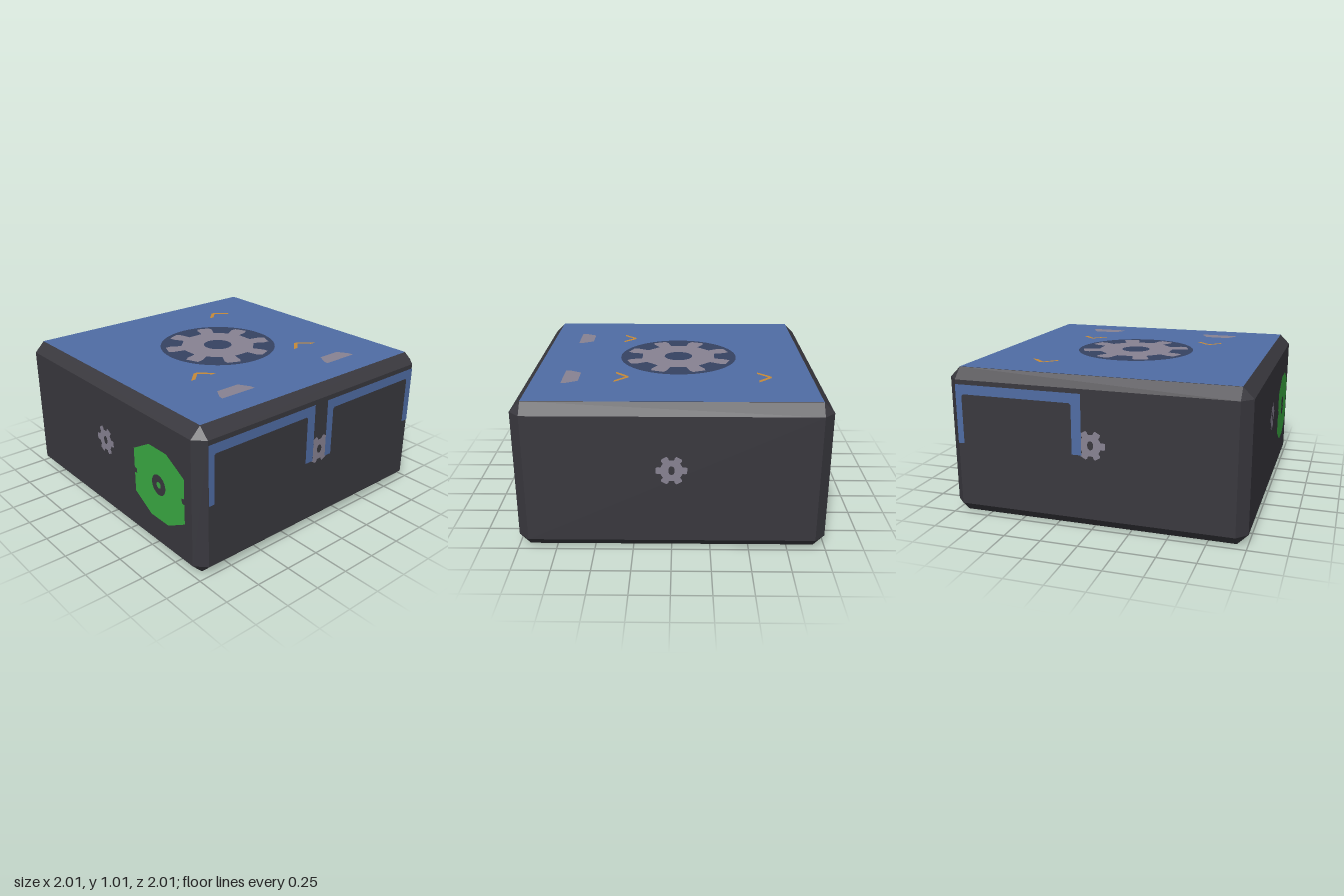
import * as THREE from 'three';
import { ConvexGeometry } from 'three/addons/geometries/ConvexGeometry.js';

const material = (name, color) => Object.assign(new THREE.MeshStandardMaterial({ color }), { name });

// Outline from [x, y] pairs
const outline = (points) => new THREE.Shape(points.map(([x, y]) => new THREE.Vector2(x, y)));

// Cog wheel with an elliptical bore; the first tooth sits at angle "start"
function cog(teeth, start, root, shoulder, tip, rootHalf, tipHalf, boreX, boreY) {
  const points = [];
  for (let i = 0; i < teeth; i++) {
    const mid = start + (i * Math.PI * 2) / teeth;
    const profile = [[-rootHalf, root], [-rootHalf * 0.95, shoulder], [-tipHalf, tip],
      [tipHalf, tip], [rootHalf * 0.95, shoulder], [rootHalf, root]];
    for (const [a, r] of profile) points.push([Math.cos(mid + a) * r, Math.sin(mid + a) * r]);
  }
  const shape = outline(points);
  shape.holes.push(new THREE.Path().absellipse(0, 0, boreX, boreY, 0, Math.PI * 2, true));
  return shape;
}

// Upside-down U bracket with separate leg widths
function bracket(x0, x1, leftLeg, rightLeg) {
  const top = 0.9, under = 0.835, foot = 0.5, c = 0.012;
  const a = x0 + leftLeg, b = x1 - rightLeg;
  return outline([[x0, foot], [a, foot], [a, under - c], [a + c, under], [b - c, under],
    [b, under - c], [b, foot], [x1, foot], [x1, top], [x0, top]]);
}

export function createModel() {
  const model = new THREE.Group();
  model.name = 'chamferedBlock';

  const dark = material('charcoal', 0x39383e);
  const blue = material('blue', 0x4f6ca4);
  const navy = material('navy', 0x364262);
  const grey = material('grey', 0x878292);
  const orange = material('orange', 0xc68a38);
  const green = material('green', 0x3aaa42);

  // Block with every edge chamfered
  const c = 0.07, corners = [];
  for (const sx of [-1, 1]) for (const sy of [-1, 1]) for (const sz of [-1, 1]) {
    corners.push(
      new THREE.Vector3(sx, sy * (0.5 - c), sz * (1 - c)),
      new THREE.Vector3(sx * (1 - c), sy * 0.5, sz * (1 - c)),
      new THREE.Vector3(sx * (1 - c), sy * (0.5 - c), sz));
  }
  const body = new THREE.Mesh(new ConvexGeometry(corners), dark);
  body.name = 'body';
  body.position.y = 0.5;
  model.add(body);

  // Painted faces: each group has x to the right and y up, seen from outside
  const face = (name, rx, ry) => {
    const group = new THREE.Group();
    group.name = name;
    group.rotation.set(rx, ry, 0);
    model.add(group);
    return group;
  };
  const paint = (group, name, shape, mat, layer, x = 0, y = 0) => {
    const mesh = new THREE.Mesh(new THREE.ShapeGeometry(shape, 32), mat);
    mesh.name = name;
    mesh.position.set(x, y, 1 + layer * 0.002);
    group.add(mesh);
  };

  const front = face('frontFace', 0, 0);
  const right = face('plusXFace', 0, Math.PI / 2);
  const back = face('backFace', 0, Math.PI);
  const left = face('minusXFace', 0, -Math.PI / 2);
  const top = face('topFace', -Math.PI / 2, 0);

  // Small six-toothed cog in the middle of each side
  const smallCog = cog(6, 0, 0.073, 0.088, 0.1, 0.3, 0.2, 0.02, 0.03);
  for (const side of [front, right, back, left]) paint(side, 'smallCog', smallCog, grey, 1, 0, 0.57);

  // Brackets
  const wideInner = bracket(-0.93, -0.06, 0.042, 0.065);
  paint(front, 'leftBracket', wideInner, blue, 2);
  paint(front, 'rightBracket', bracket(0.055, 0.93, 0.055, 0.055), blue, 2);
  paint(back, 'backBracket', wideInner, blue, 2);

  // Green notched octagon with a ring and a hub dot
  const half = [[0.26, -0.155], [0.26, -0.02], [0.235, -0.015], [0.235, 0.015], [0.26, 0.02],
    [0.26, 0.155], [0.09, 0.25]];
  const badge = outline([...half, ...half.map(([x, y]) => [-x, -y])].map(([x, y], i) => [x, y])
    .toSpliced(7, 0, [-0.09, 0.25]).concat([[0.09, -0.25]]));
  badge.holes.push(new THREE.Path().absarc(0, 0, 0.07, 0, Math.PI * 2, true));
  paint(left, 'greenOctagon', badge, green, 2, 0.605, 0.495);
  paint(left, 'greenHub', new THREE.Shape().absarc(0, 0, 0.022, 0, Math.PI * 2), green, 2, 0.605, 0.495);

  // Top panel, dark disc and large cog
  const p = 1 - c;
  paint(top, 'topPanel', outline([[-p, -p], [p, -p], [p, p], [-p, p]]), blue, 1);
  paint(top, 'disc', new THREE.Shape().absarc(0, 0, 0.415, 0, Math.PI * 2), navy, 2, 0.003, 0.037);
  paint(top, 'largeCog', cog(8, Math.PI / 8, 0.265, 0.345, 0.38, 0.175, 0.12, 0.1, 0.1),
    grey, 3, 0.003, 0.037);

  // Chevrons and trapezoid tabs
  const chevron = outline([[-0.105, -0.09], [-0.07, -0.09], [0, -0.022], [0.07, -0.09],
    [0.105, -0.09], [0.015, 0], [-0.015, 0]]);
  for (const [x, z] of [[-0.465, 0.295], [0.47, 0.295], [0.47, -0.66]]) {
    paint(top, 'chevron', chevron, orange, 2, x, -z);
  }
  const tab = outline([[-0.133, -0.053], [0.133, -0.053], [0.128, -0.02], [0.085, 0.055],
    [-0.085, 0.055], [-0.128, -0.02]]);
  for (const x of [-0.465, 0.47]) paint(top, 'tab', tab, grey, 2, x, -0.677);

  // The top face lies at y = 1, so its local depth of 1 needs no shift
  return model;
}
